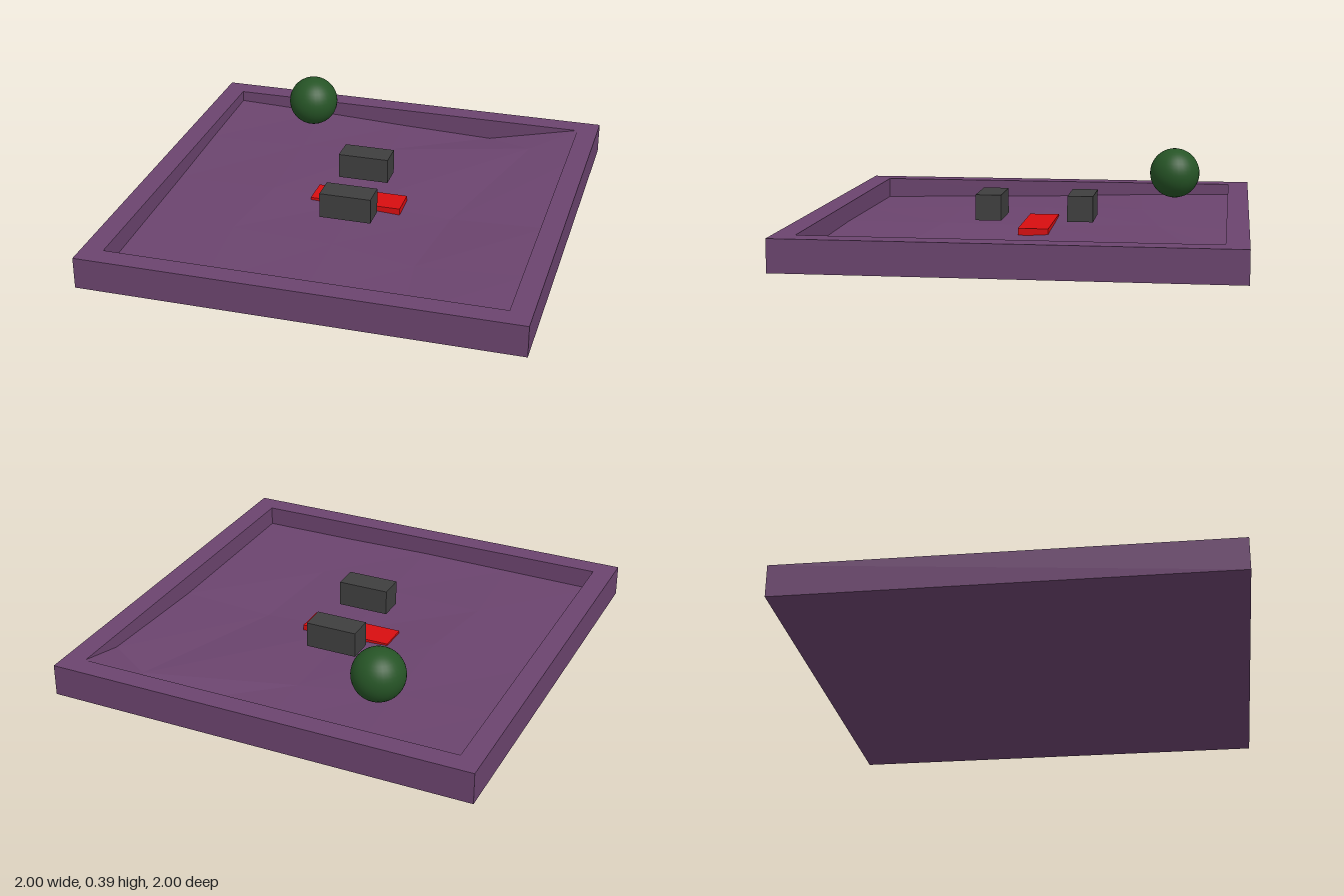
import * as THREE from 'three';

export function createModel() {
  const model = new THREE.Group();
  const mat = (name, color, side = THREE.FrontSide) => {
    const m = new THREE.MeshStandardMaterial({ color, side });
    m.name = name;
    return m;
  };
  const purple = mat('purple', 0x6b446e);
  const charcoal = mat('charcoal', 0x3f3f3f);
  const red = mat('red', 0xd80d10);
  const green = mat('dark green', 0x265426);

  const add = (name, geometry, material, x = 0, y = 0, z = 0) => {
    const mesh = new THREE.Mesh(geometry, material);
    mesh.name = name;
    mesh.position.set(x, y, z);
    model.add(mesh);
    return mesh;
  };
  const square = (Type, r) => new Type([[-r, -r], [r, -r], [r, r], [-r, r]]
    .map(([x, y]) => new THREE.Vector2(x, y)));

  // Tray rim: square frame with a square opening
  const frame = square(THREE.Shape, 1);
  frame.holes.push(square(THREE.Path, 0.9));
  const rim = new THREE.ExtrudeGeometry(frame, { depth: 0.147, bevelEnabled: false });
  rim.rotateX(-Math.PI / 2);
  add('trayRim', rim, purple);

  // Tray underside
  add('trayBase', new THREE.BoxGeometry(1.8, 0.02, 1.8), purple, 0, 0.01, 0);

  // Uneven floor: rows from back to front, each point is x, z, height
  const rows = [
    [[-0.9, -0.9, 0.095], [-0.45, -0.9, 0.08], [0, -0.9, 0.06], [0.45, -0.9, 0.045], [0.9, -0.9, 0.148]],
    [[-0.9, -0.45, 0.085], [-0.43, -0.48, 0.08], [0, -0.58, 0.07], [0.68, -0.78, 0.072], [0.9, -0.65, 0.085]],
    [[-0.9, 0, 0.07], [-0.42, 0, 0.08], [0, 0, 0.06], [0.45, 0, 0.035], [0.9, 0, 0.055]],
    [[-0.9, 0.45, 0.06], [-0.48, 0.41, 0.07], [0, 0.43, 0.065], [0.4, 0.5, 0.05], [0.9, 0.45, 0.055]],
    [[-0.9, 0.9, 0.05], [-0.45, 0.9, 0.055], [0, 0.9, 0.06], [0.45, 0.9, 0.055], [0.9, 0.9, 0.055]],
  ];
  const corners = [];
  for (let r = 0; r < 4; r++) {
    for (let c = 0; c < 4; c++) {
      const a = rows[r][c], b = rows[r][c + 1], d = rows[r + 1][c], e = rows[r + 1][c + 1];
      for (const [x, z, h] of [a, d, b, b, d, e]) corners.push(x, h, z);
    }
  }
  const floor = new THREE.BufferGeometry();
  floor.setAttribute('position', new THREE.Float32BufferAttribute(corners, 3));
  floor.computeVertexNormals(); // unshared corners give flat facets
  add('trayFloor', floor, purple);

  // Blocks and ball
  const block = new THREE.BoxGeometry(0.243, 0.12, 0.12);
  add('backBlock', block, charcoal, -0.023, 0.156, -0.225);
  add('frontBlock', block, charcoal, 0.01, 0.16, 0.2);
  add('redBlock', new THREE.BoxGeometry(0.435, 0.05, 0.14), red, -0.002, 0.055, -0.02);
  add('ball', new THREE.SphereGeometry(0.121, 32, 20), green, -0.42, 0.266, -0.64);

  return model;
}
